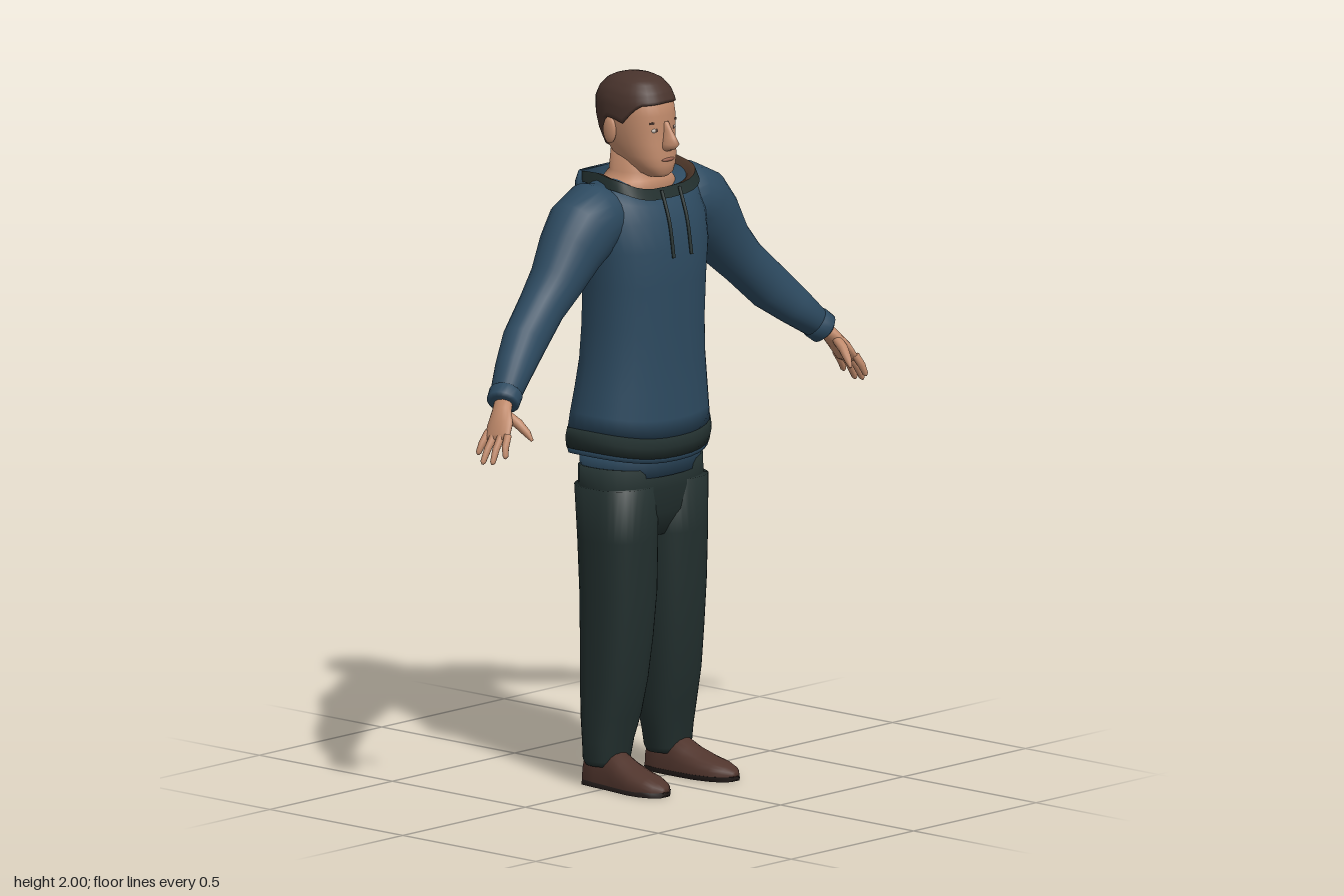
import * as THREE from 'three';

const mat = (name, color, side = THREE.FrontSide) => {
  const m = new THREE.MeshStandardMaterial({ color, side });
  m.name = name;
  return m;
};
const V = (x, y, z) => new THREE.Vector3(x, y, z);
const N = 32;
const pow = (c, n) => Math.sign(c) * Math.abs(c) ** (2 / n);

// Smooth skin through equal-sized rings of points, capped at both ends
function loft(rings, capped = true) {
  const n = rings[0].length, pts = rings.flat().slice(), idx = [];
  for (let i = 0; i < rings.length - 1; i++)
    for (let j = 0; j < n; j++) {
      const a = i * n + j, b = i * n + (j + 1) % n;
      idx.push(a, b, a + n, b, b + n, a + n);
    }
  if (capped) [0, rings.length - 1].forEach((r) => {
    const c = V(0, 0, 0);
    rings[r].forEach((p) => c.addScaledVector(p, 1 / n));
    pts.push(c);
    for (let j = 0; j < n; j++) {
      const a = r * n + j, b = r * n + (j + 1) % n;
      idx.push(pts.length - 1, ...(r ? [a, b] : [b, a]));
    }
  });
  const g = new THREE.BufferGeometry().setFromPoints(pts);
  g.setIndex(idx);
  g.computeVertexNormals();
  return g;
}

// Horizontal rounded ring; dip lowers its front and back
function ring([y, rx, zf, zb, dip = 0, cx = 0], n = 2.3) {
  return Array.from({ length: N }, (_, j) => {
    const a = j / N * Math.PI * 2, c = Math.cos(a), s = Math.sin(a);
    return V(cx + rx * pow(s, n), y - dip * c * c, (zf + zb) / 2 + (zf - zb) / 2 * pow(c, n));
  });
}
const body = (rows, n, capped) => loft(rows.map((r) => ring(r, n)), capped);

// Limb along a path of [x, y, z, radius, radius toward z]
function limb(rows, n = 16) {
  const c = rows.map((r) => V(r[0], r[1], r[2]));
  return loft(rows.map((r, i) => {
    const d = c[Math.min(i + 1, c.length - 1)].clone().sub(c[Math.max(i - 1, 0)]).normalize();
    const u = V(0, 0, 1).cross(d).normalize(), v = d.clone().cross(u);
    return Array.from({ length: n }, (_, j) => {
      const a = j / n * Math.PI * 2;
      return c[i].clone().addScaledVector(u, r[3] * Math.cos(a)).addScaledVector(v, (r[4] ?? r[3]) * Math.sin(a));
    });
  }));
}

function mirrored(geo) {
  const g = geo.clone().scale(-1, 1, 1), ix = g.index.array;
  for (let i = 0; i < ix.length; i += 3) [ix[i], ix[i + 1]] = [ix[i + 1], ix[i]];
  return g;
}
const blob = (x, y, z, rx, ry, rz) => new THREE.SphereGeometry(1, 16, 12).scale(rx, ry, rz).translate(x, y, z);

// Linear lookup in a table whose first column is the key
function sample(rows, k) {
  let i = 0;
  while (i < rows.length - 2 && rows[i + 1][0] < k) i++;
  const t = (k - rows[i][0]) / (rows[i + 1][0] - rows[i][0]);
  return rows[i].map((v, q) => v + (rows[i + 1][q] - v) * t);
}

export function createModel() {
  const model = new THREE.Group();
  const blue = mat('sweater blue', 0x2d4a60), dark = mat('trouser green', 0x222f2e);
  const skin = mat('skin', 0xc08a6b), brown = mat('hair brown', 0x48332c);
  const leather = mat('shoe leather', 0x50352d), sole = mat('sole', 0x231c1a);
  const lining = mat('hood lining', 0x4a3427, THREE.DoubleSide);
  const white = mat('eye white', 0xc9beb4), lip = mat('lips', 0x9c6552);
  const add = (name, geo, m) => {
    const mesh = new THREE.Mesh(geo, m);
    mesh.name = name;
    model.add(mesh);
  };
  const pair = (name, geo, m) => {
    add(name + 'Left', geo, m);
    add(name + 'Right', mirrored(geo), m);
  };

  // Sweater body, hem band and rim, undershirt
  add('sweater', body([
    [1.015, .224, .12, -.187, .028], [1.06, .217, .12, -.182, .02], [1.12, .208, .118, -.17],
    [1.2, .196, .118, -.16], [1.3, .19, .12, -.155], [1.42, .192, .124, -.15], [1.52, .2, .126, -.146],
    [1.6, .203, .11, -.146], [1.67, .188, .09, -.148, .03], [1.72, .165, .072, -.148, .05]]), blue);
  add('hemBand', body([[.96, .226, .118, -.19, .028], [.99, .23, .124, -.193, .028], [1.018, .225, .121, -.188, .028]]), dark);
  add('hemRim', body([[.945, .205, .095, -.165, .02], [.945, .221, .113, -.184, .026], [.965, .226, .119, -.19, .028]]), blue);
  add('undershirt', body([[.885, .198, .092, -.146, .01], [.95, .2, .095, -.15]]), blue);

  // Collar with its lining
  const collarRing = (rx, zf, zb, dy) => {
    const r = ring([1.728, rx, zf, zb, .038], 3.4);
    r.forEach((p) => { p.y += dy + (p.z < -.04 ? .008 : 0); });
    return r;
  };
  const rim = collarRing(.163, .078, -.16, 0);
  add('collarTrim', loft([collarRing(.17, .09, -.158, -.03), rim], false), dark);
  add('collarLining', loft([rim, collarRing(.145, .062, -.142, -.005), collarRing(.125, .045, -.125, -.04)], false), lining);

  // Hood lying flat on the back
  add('hood', loft([[1.415, .03, -.15, .01], [1.43, .055, -.152, .018], [1.5, .068, -.152, .02], [1.56, .085, -.152, .02],
    [1.6, .125, -.15, .021], [1.65, .175, -.15, .022], [1.69, .185, -.148, .022], [1.72, .165, -.146, .014]]
    .map(([y, w, z, t]) => {
      const r = ring([y, w, z + t, z - t], 2.6);
      r.forEach((p) => { p.z += 1.5 * p.x * p.x; p.y += y > 1.64 ? .5 * p.x * p.x : 0; });
      return r;
    })), blue);

  // Drawstrings
  pair('drawstring', new THREE.TubeGeometry(new THREE.CatmullRomCurve3(
    [V(.036, 1.685, .086), V(.036, 1.6, .115), V(.036, 1.5, .132)]), 10, .005, 6), dark);

  // Sleeves and cuffs
  pair('sleeve', limb([
    [.1, 1.61, -.035, .085, .085], [.19, 1.61, -.035, .106, .1], [.235, 1.585, -.033, .108, .098],
    [.285, 1.535, -.03, .097, .088], [.345, 1.46, -.027, .078, .075], [.41, 1.398, -.022, .068, .065],
    [.5, 1.315, -.005, .067, .06], [.57, 1.255, .022, .056, .053], [.635, 1.197, .05, .042, .044]], 24), blue);
  pair('cuff', limb([[.628, 1.203, .047, .036, .04], [.632, 1.2, .049, .046, .048], [.655, 1.18, .059, .045, .047], [.66, 1.176, .061, .032, .038]], 20), blue);

  // Hands
  pair('palm', limb([[.645, 1.19, .055, .022, .026], [.672, 1.16, .07, .02, .03], [.695, 1.127, .085, .018, .042],
    [.713, 1.098, .092, .014, .043], [.72, 1.088, .094, .007, .036]]), skin);
  [[.055, .748, 1.045, .05], [.08, .762, 1.024, .08], [.105, .757, 1.027, .112], [.128, .738, 1.045, .142]].forEach(([z, x, y, tz], i) =>
    pair('finger' + (i + 1), limb([[.71, 1.105, z, .011], [(.71 + x) / 2 + .004, (1.105 + y) / 2, (z + tz) / 2, .0105],
      [x - .003, y + .006, tz, .008], [x, y, tz, .003]], 10), skin));
  pair('thumb', limb([[.675, 1.155, .085, .014], [.664, 1.13, .125, .014], [.655, 1.105, .15, .011], [.65, 1.085, .165, .004]], 10), skin);

  // Trousers
  add('trouserSeat', body([[.7, .1, .05, -.1], [.77, .188, .08, -.125], [.84, .204, .088, -.14], [.91, .203, .088, -.142, .01]], 2.6), dark);
  pair('trouserLeg', body([
    [.06, .06, .012, -.088, 0, .125], [.075, .067, .018, -.096, 0, .125], [.13, .073, .025, -.1, 0, .121],
    [.2, .082, .042, -.11, 0, .113], [.3, .087, .063, -.115, 0, .109], [.42, .094, .075, -.117, 0, .104],
    [.55, .099, .085, -.12, 0, .101], [.7, .102, .088, -.126, 0, .102], [.85, .104, .088, -.136, 0, .103]], 2.5), dark);

  // Shoes, each a row of flat-bottomed arches running heel to toe
  const shoe = (rows, grow, top) => loft(rows.map(([z, w, h, cx]) => Array.from({ length: 20 }, (_, j) => {
    const a = j / 20 * Math.PI * 2;
    return V(cx + (w + grow) * pow(Math.cos(a), 2.4), top ? Math.min(h, top) * (Math.sin(a) > 0 ? 1 : 0)
      : .012 + Math.max(0, (h - .012) * pow(Math.sin(a), 2.4)), z);
  })));
  const shoeRows = [[-.1, .025, .06, .128], [-.088, .045, .095, .128], [-.04, .052, .108, .128], [.01, .054, .105, .129],
    [.05, .057, .082, .132], [.1, .059, .062, .136], [.145, .053, .052, .139], [.18, .038, .04, .141], [.198, .015, .026, .142]];
  pair('shoe', shoe(shoeRows, 0), leather);
  pair('sole', shoe(shoeRows, .002, .014), sole);

  // Neck and head
  add('neck', body([[1.62, .13, .03, -.11], [1.68, .138, .048, -.125], [1.705, .105, .038, -.12], [1.725, .072, .026, -.115], [1.8, .066, .03, -.11]]), skin);
  add('head', body([
    [1.716, .028, .065, 0], [1.727, .045, .077, -.03], [1.75, .062, .08, -.07], [1.775, .073, .08, -.105], [1.81, .08, .075, -.125],
    [1.85, .086, .071, -.143], [1.89, .088, .07, -.15], [1.925, .086, .064, -.15], [1.96, .072, .04, -.13], [1.985, .045, .01, -.09]], 2.4), skin);
  add('nose', body([[1.79, .012, .083, .05], [1.797, .02, .1, .05], [1.812, .02, .115, .05], [1.83, .014, .105, .05], [1.85, .01, .09, .05], [1.872, .009, .076, .05]], 2), skin);
  pair('ear', blob(.088, 1.843, -.062, .011, .038, .023).rotateX(0), skin);
  pair('eye', blob(.035, 1.85, .06, .014, .007, .006), white);
  pair('pupil', blob(.034, 1.85, .0635, .006, .006, .004), brown);
  pair('brow', new THREE.BoxGeometry(.034, .006, .008).rotateY(.3).translate(.036, 1.871, .06), brown);
  add('mouth', blob(0, 1.766, .076, .026, .006, .008), lip);

  // Hair cap, rising from a hairline that dips behind the ears
  const hairline = [[0, 1.925], [50, 1.92], [68, 1.89], [82, 1.862], [92, 1.882], [108, 1.88], [124, 1.805], [180, 1.772]];
  const cap = [[1.76, .073, .08, -.106], [1.8, .084, .08, -.13], [1.84, .09, .077, -.15], [1.88, .094, .076, -.16],
    [1.925, .092, .071, -.162], [1.955, .082, .058, -.15], [1.98, .062, .035, -.125], [1.993, .038, .008, -.095], [2, .005, -.035, -.05]];
  const hair = [];
  for (let i = -1; i <= 14; i++) {
    hair.push(Array.from({ length: N }, (_, j) => {
      const deg = 360 * j / N, yb = sample(hairline, Math.min(deg, 360 - deg))[1];
      const t = Math.max(i, 0) / 14, y = yb + (2 - yb) * (1 - (1 - t) ** 1.5);
      const row = sample(cap, y), inset = i < 0 ? .012 : 0;
      return ring([y, row[1] - inset, row[2] - inset, row[3] + inset], 2.35)[j];
    }));
  }
  add('hair', loft(hair), brown);

  return model;
}
